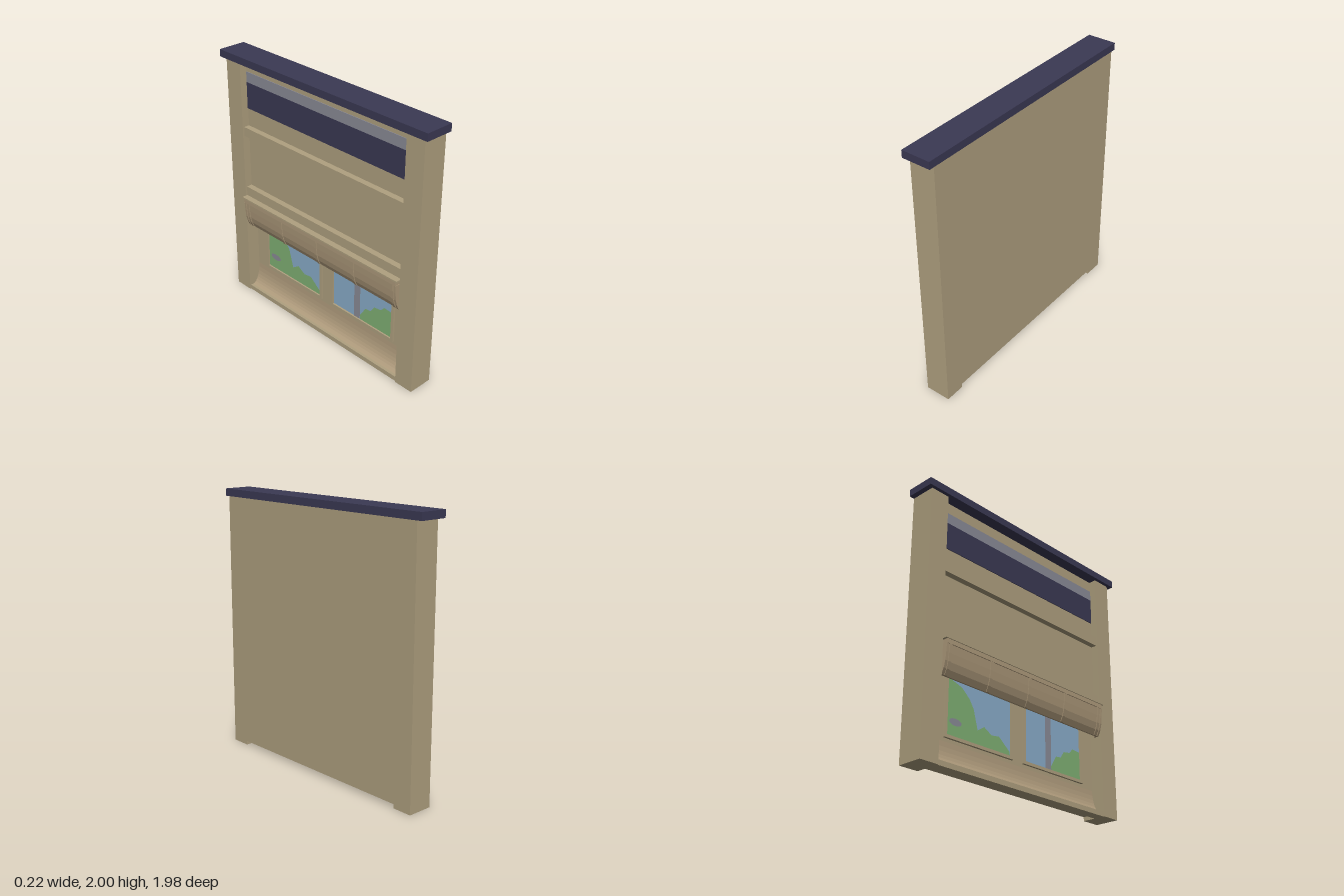
import * as THREE from 'three';

const mat = (name, color, side = THREE.FrontSide) => {
  const m = new THREE.MeshStandardMaterial({ color, side });
  m.name = name;
  return m;
};

export function createModel() {
  const model = new THREE.Group();
  model.name = 'shopfrontWall';
  const stone = mat('tan stone', 0xb0a180);
  const brown = mat('warm brown', 0xaf9b7c, THREE.DoubleSide);
  const navy = mat('dark navy', 0x3b3954);
  const grey = mat('grey', 0x8b8c97);
  const glass = mat('sky blue glass', 0x8aaecb);
  const green = mat('foliage green', 0x80b274);

  const add = (name, geometry, material) => {
    const mesh = new THREE.Mesh(geometry, material);
    mesh.name = name;
    model.add(mesh);
    return mesh;
  };
  // Box given by its limits on each axis
  const box = (name, material, x0, x1, y0, y1, z0, z1) => {
    const g = new THREE.BoxGeometry(x1 - x0, y1 - y0, z1 - z0);
    g.translate((x0 + x1) / 2, (y0 + y1) / 2, (z0 + z1) / 2);
    return add(name, g, material);
  };
  const toShape = (pts) => new THREE.Shape(pts.map(([a, b]) => new THREE.Vector2(a, b)));
  // Side profile in x, y drawn out along z
  const prism = (name, material, pts, z0, z1) => {
    const g = new THREE.ExtrudeGeometry(toShape(pts), { depth: z1 - z0, bevelEnabled: false });
    g.translate(0, 0, z0);
    return add(name, g, material);
  };
  // Flat picture shape in z, y, facing the shop side (-x)
  const paint = (name, material, shape, x) => {
    const mesh = add(name, new THREE.ShapeGeometry(shape), material);
    mesh.rotation.y = -Math.PI / 2;
    mesh.position.x = x;
  };

  // Pillars, cap and wall
  for (const s of [-1, 1]) {
    box('pillar', stone, -0.08, 0.111, 0, 1.945, Math.min(s * 0.8, s * 0.95), Math.max(s * 0.8, s * 0.95));
  }
  box('cap', navy, -0.107, 0.112, 1.945, 2, -0.988, 0.988);
  box('upperWall', stone, -0.02, 0.111, 0.8, 1.945, -0.8, 0.8);
  box('lowerWall', stone, 0.025, 0.111, 0.03, 0.8, -0.8, 0.8);

  // Painted bands below the cap
  box('navyBand', navy, -0.025, -0.02, 1.575, 1.78, -0.8, 0.8);
  box('greyBand', grey, -0.025, -0.02, 1.78, 1.86, -0.8, 0.8);

  // Ledges framing the sign panel
  box('upperLedge', stone, -0.066, -0.02, 1.365, 1.436, -0.8, 0.8);
  box('lowerLedge', stone, -0.066, -0.02, 0.82, 0.938, -0.8, 0.8);

  // Hood over the windows: shelf, moulding, curved valance and ribs
  box('hoodShelf', stone, -0.113, -0.06, 0.852, 0.865, -0.8, 0.8);
  box('hoodMoulding', brown, -0.107, -0.06, 0.82, 0.852, -0.785, 0.785);
  const outer = [[-0.1, 0.82], [-0.096, 0.76], [-0.09, 0.7], [-0.077, 0.65], [-0.058, 0.61]];
  const inner = outer.map(([x, y]) => [x + 0.012, y]).reverse();
  prism('valance', brown, [...outer, ...inner], -0.775, 0.775);
  const ribOuter = outer.map(([x, y]) => [x - 0.006, y]);
  for (let i = -2; i <= 2; i++) {
    const z = i * 0.375;
    prism('valanceRib', brown, [...ribOuter, ...inner], z - 0.012, z + 0.012);
  }
  for (const s of [-1, 1]) {
    prism('valanceEnd', brown, [...ribOuter, [-0.03, 0.61], [-0.03, 0.82]], s * 0.78 - 0.008, s * 0.78 + 0.008);
  }

  // Coved base below the windows and the front sill
  const curve = new THREE.QuadraticBezierCurve(
    new THREE.Vector2(-0.05, 0.03), new THREE.Vector2(0.018, 0.05), new THREE.Vector2(0.025, 0.21));
  const cove = curve.getPoints(8).map((p) => [p.x, p.y]);
  prism('covedBase', brown, [...cove, [0.04, 0.21], [0.04, 0.03]], -0.8, 0.8);
  box('footing', stone, -0.05, 0.01, 0, 0.03, -0.8, 0.8);
  box('frontSill', stone, -0.072, -0.05, 0, 0.036, -0.8, 0.8);

  // Two framed windows
  const rect = (z0, z1, y0, y1) => [[z0, y0], [z1, y0], [z1, y1], [z0, y1]];
  for (const s of [-1, 1]) {
    const [z0, z1] = s < 0 ? [-0.68, -0.05] : [0.05, 0.68];
    const frame = toShape(rect(z0, z1, 0.235, 0.74));
    frame.holes.push(toShape(rect(z0 + 0.022, z1 - 0.022, 0.257, 0.718)));
    const g = new THREE.ExtrudeGeometry(frame, { depth: 0.018, bevelEnabled: false });
    const mesh = add('windowFrame', g, stone);
    mesh.rotation.y = -Math.PI / 2;
    mesh.position.x = 0.026;
    paint('windowGlass', glass, toShape(rect(z0 + 0.02, z1 - 0.02, 0.255, 0.72)), 0.022);
  }

  // Landscape seen in the glass
  paint('foliage', green, toShape([[-0.658, 0.257], [-0.072, 0.257], [-0.08, 0.29], [-0.18, 0.37], [-0.25, 0.36],
    [-0.32, 0.4], [-0.38, 0.36], [-0.42, 0.5], [-0.46, 0.56], [-0.53, 0.62], [-0.658, 0.66]]), 0.02);
  paint('foliage', green, toShape([[0.345, 0.257], [0.658, 0.257], [0.658, 0.47], [0.58, 0.475], [0.55, 0.44],
    [0.485, 0.43], [0.45, 0.38], [0.4, 0.375], [0.345, 0.29]]), 0.02);
  paint('greyPost', grey, toShape(rect(0.285, 0.345, 0.257, 0.718)), 0.019);
  const rock = new THREE.Shape();
  rock.absellipse(-0.58, 0.36, 0.055, 0.025, 0, Math.PI * 2);
  paint('greyRock', grey, rock, 0.019);

  return model;
}
